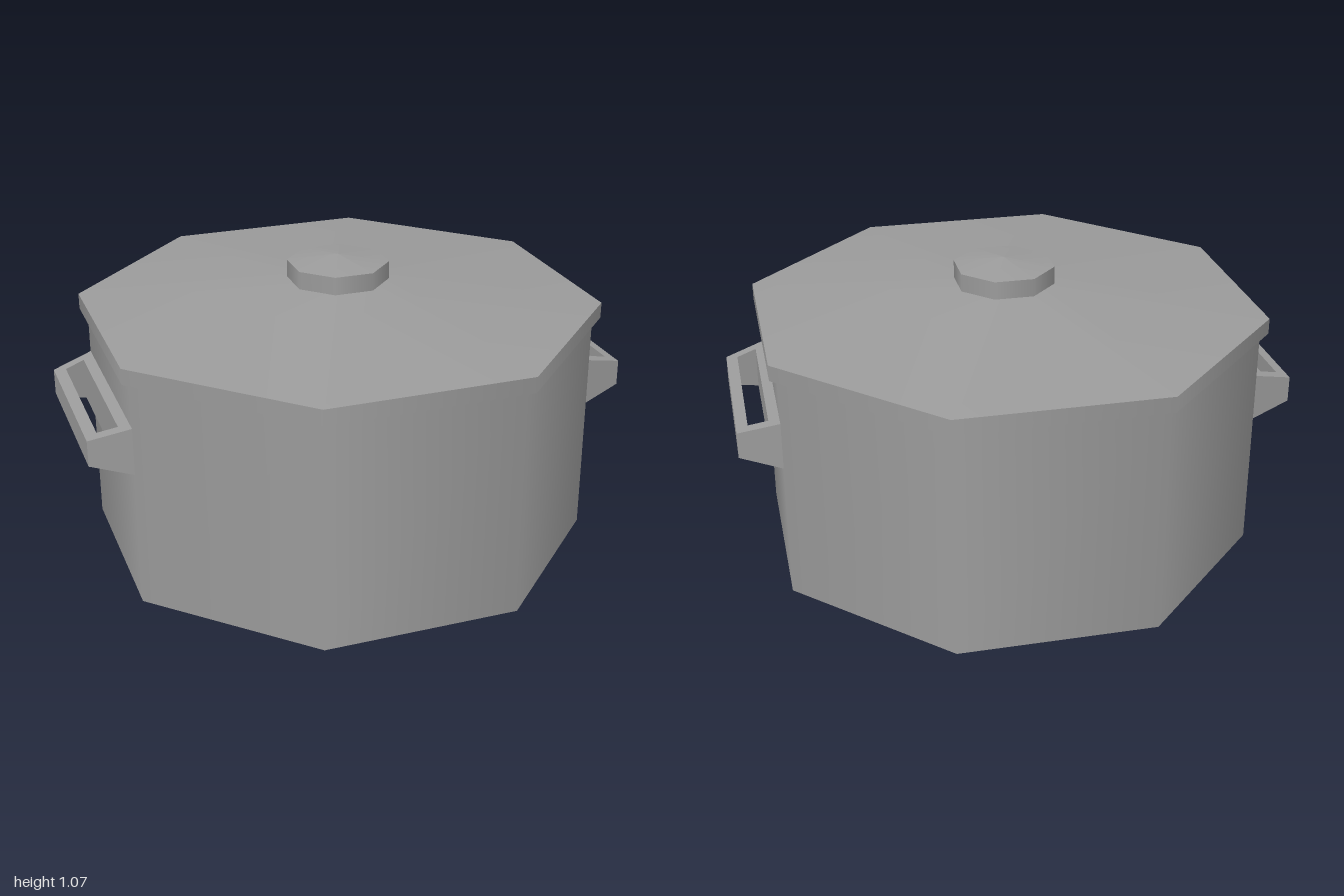
import * as THREE from 'three';

const material = new THREE.MeshStandardMaterial({ color: 0x9b9b9b });

function addMesh(parent, name, geometry) {
  const mesh = new THREE.Mesh(geometry, material);
  mesh.name = name;
  parent.add(mesh);
  return mesh;
}

// Eight-sided drum with flats facing the axes; sizes are centre-to-flat distances
function octagonDrum(top, bottom, y0, y1) {
  const k = 1 / Math.cos(Math.PI / 8);
  return new THREE.CylinderGeometry(top * k, bottom * k, y1 - y0, 8, 1, false, Math.PI / 8)
    .translate(0, (y0 + y1) / 2, 0);
}

// Closed outline, symmetric about z = 0, narrowing from x0 to x1
function trapezoid(PathType, x0, half0, x1, half1) {
  return new PathType([
    new THREE.Vector2(x0, -half0), new THREE.Vector2(x1, -half1),
    new THREE.Vector2(x1, half1), new THREE.Vector2(x0, half0),
  ]);
}

// Tapered loop handle: extruded frame whose height shrinks outwards
function handleGeometry() {
  const inner = 0.85, outer = 1;
  const shape = trapezoid(THREE.Shape, inner, 0.353, outer, 0.315);
  shape.holes.push(trapezoid(THREE.Path, 0.89, 0.3, 0.96, 0.283));
  const geometry = new THREE.ExtrudeGeometry(shape, { depth: 2, bevelEnabled: false });
  geometry.translate(0, 0, -1).rotateX(-Math.PI / 2);
  const p = geometry.attributes.position;
  for (let i = 0; i < p.count; i++) {
    const t = (p.getX(i) - inner) / (outer - inner);
    p.setY(i, 0.584 + p.getY(i) * THREE.MathUtils.lerp(0.087, 0.047, t));
  }
  geometry.computeVertexNormals();
  return geometry;
}

export function createModel() {
  const pot = new THREE.Group();
  pot.name = 'cookingPot';

  addMesh(pot, 'body', octagonDrum(0.853, 0.853, 0, 0.85));

  // Lid: upright rim, shallow sloping top and a knob with a low peak
  const lid = new THREE.Group();
  lid.name = 'lid';
  pot.add(lid);
  addMesh(lid, 'lidRim', octagonDrum(0.88, 0.88, 0.84, 0.897));
  addMesh(lid, 'lidTop', octagonDrum(0.17, 0.88, 0.897, 0.978));
  addMesh(lid, 'knob', octagonDrum(0.17, 0.17, 0.973, 1.043));
  addMesh(lid, 'knobCap', octagonDrum(0, 0.17, 1.043, 1.068));

  // Handles on both sides
  const handle = handleGeometry();
  addMesh(pot, 'leftHandle', handle);
  addMesh(pot, 'rightHandle', handle).rotation.y = Math.PI;

  return pot;
}
